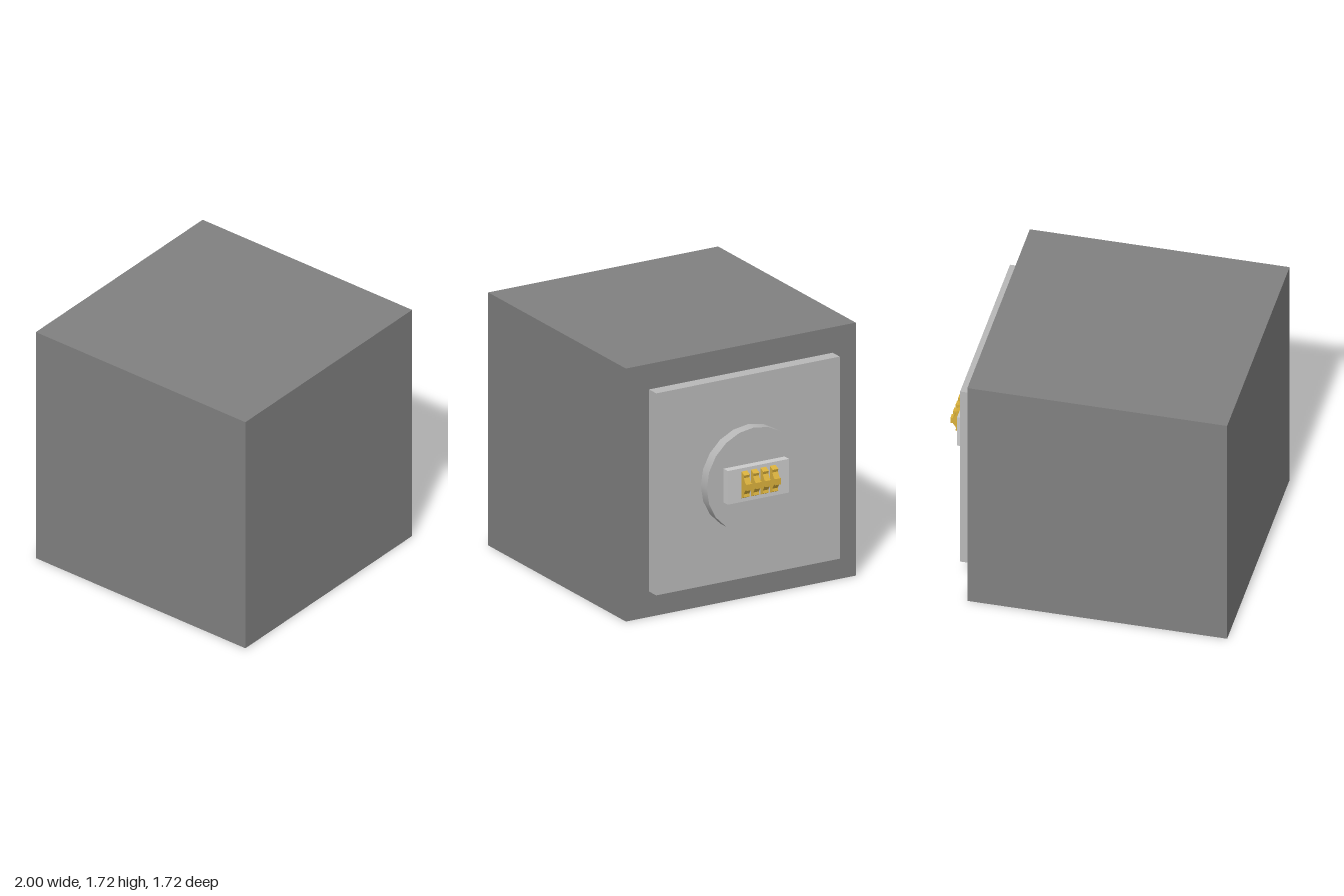
import * as THREE from 'three';

const MID = 0.86; // height of the shared centre axis

const material = (color) => new THREE.MeshStandardMaterial({ color });

export function createModel() {
  const model = new THREE.Group();
  model.name = 'cubeWithConnector';

  const darkGrey = material(0x808080);
  const midGrey = material(0xb8b8b8);
  const lightGrey = material(0xcccccc);
  const gold = material(0xd9b03c);

  const add = (name, geometry, mat, parent = model) => {
    const mesh = new THREE.Mesh(geometry, mat);
    mesh.name = name;
    parent.add(mesh);
    return mesh;
  };

  // Box spanning x0..x1, centred on the axis
  const addBox = (name, x0, x1, height, depth, mat) =>
    add(name, new THREE.BoxGeometry(x1 - x0, height, depth), mat)
      .position.set((x0 + x1) / 2, MID, 0);

  addBox('body', -1, 0.713, 1.72, 1.72, darkGrey);
  addBox('sidePlate', 0.713, 0.802, 1.374, 1.374, midGrey);

  // Round boss on the plate
  const disc = new THREE.CylinderGeometry(0.353, 0.353, 0.075, 20).rotateZ(-Math.PI / 2);
  add('roundBoss', disc, midGrey).position.set(0.8395, MID, 0);

  addBox('connectorBlock', 0.877, 0.932, 0.229, 0.458, lightGrey);

  // Contact pins: stepped profile, upper half mirrored to the lower half
  const half = [[0.93, 0.092], [0.968, 0.074], [0.962, 0.055], [0.984, 0.021], [1.0, 0.021]];
  const lower = half.map(([x, y]) => [x, -y]).reverse();
  const profile = new THREE.Shape(
    [...half, ...lower].map(([x, y]) => new THREE.Vector2(x, y)));
  const width = 0.042;
  const pin = new THREE.ExtrudeGeometry(profile, { depth: width, bevelEnabled: false })
    .translate(0, 0, -width / 2);

  const pins = new THREE.Group();
  pins.name = 'contactPins';
  for (let i = 0; i < 4; i++) {
    add('contactPin', pin, gold, pins).position.set(0, MID + 0.002, (i - 1.5) * 0.071);
  }
  model.add(pins);

  return model;
}
